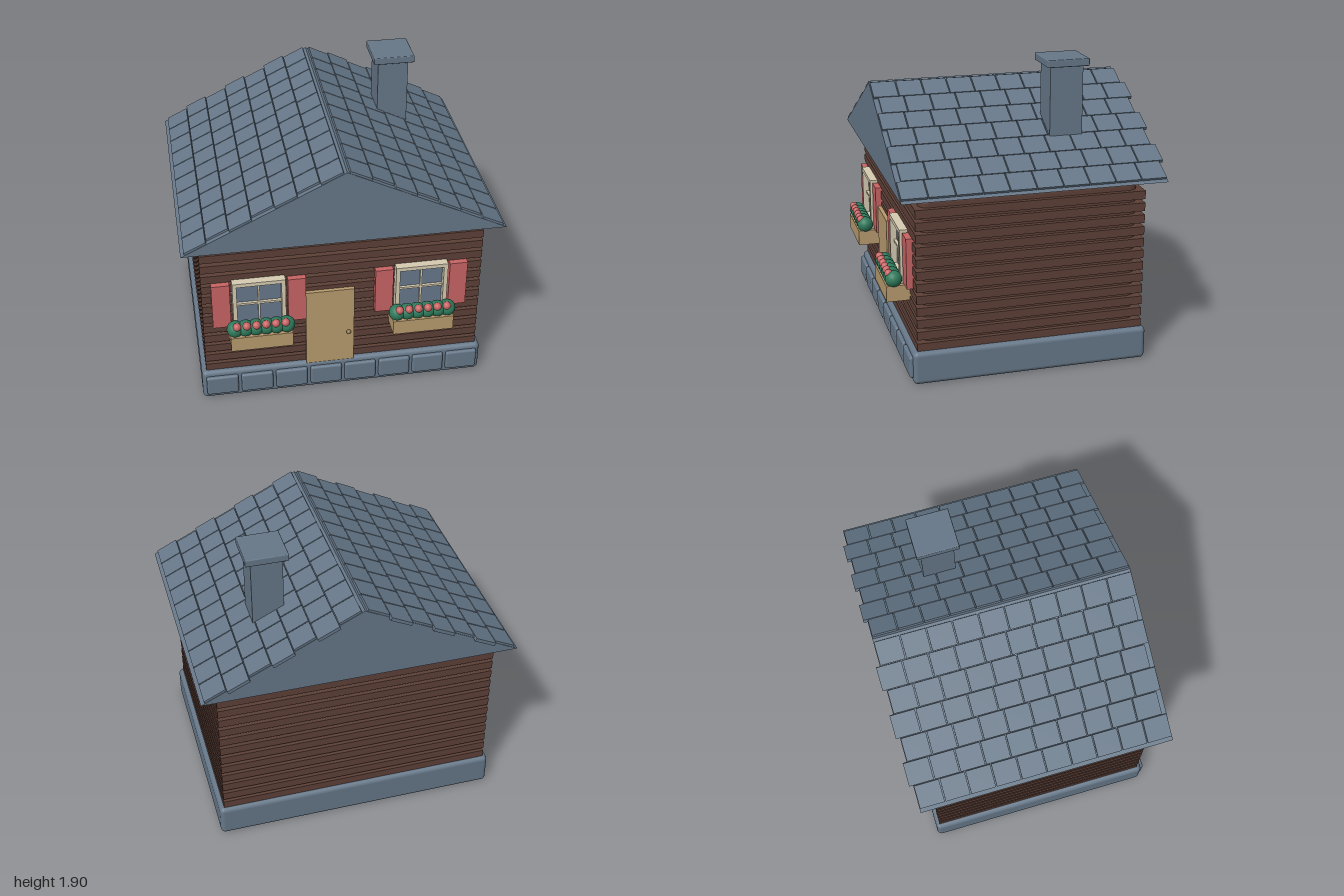
import * as THREE from 'three';
import { RoundedBoxGeometry } from 'three/addons/geometries/RoundedBoxGeometry.js';

const mat = (name, color) => {
  const m = new THREE.MeshStandardMaterial({ color });
  m.name = name;
  return m;
};

export function createModel() {
  const house = new THREE.Group();
  house.name = 'logCabin';

  const stone = mat('slate stone', 0x667788);
  const wood = mat('dark log', 0x5d4037);
  const tan = mat('pale wood', 0xb89b6e);
  const red = mat('shutter red', 0xc86464);
  const cream = mat('cream trim', 0xd6ccb2);
  const green = mat('leaf green', 0x2f7a5c);
  const glass = mat('window glass', 0x66788c);
  const brass = mat('brass', 0x957a4c);

  const add = (parent, name, geometry, material, x = 0, y = 0, z = 0) => {
    const mesh = new THREE.Mesh(geometry, material);
    mesh.name = name;
    mesh.position.set(x, y, z);
    parent.add(mesh);
    return mesh;
  };
  // Box given by its limits; a radius rounds its edges
  const block = (parent, name, material, [x0, x1], [y0, y1], [z0, z1], r = 0) => {
    const s = [x1 - x0, y1 - y0, z1 - z0];
    const g = r ? new RoundedBoxGeometry(...s, 3, r) : new THREE.BoxGeometry(...s);
    return add(parent, name, g, material, (x0 + x1) / 2, (y0 + y1) / 2, (z0 + z1) / 2);
  };
  const group = (name, parent = house) => {
    const g = new THREE.Group();
    g.name = name;
    parent.add(g);
    return g;
  };

  // Foundation with a row of facing stones
  const base = group('foundation');
  block(base, 'foundationSlab', stone, [-0.92, 0.92], [0, 0.213], [-0.76, 0.74], 0.03);
  for (let i = 0; i < 8; i++) {
    const x = (i - 3.5) * 0.226;
    block(base, 'facingStone', stone, [x - 0.103, x + 0.103], [0.04, 0.18], [0.7, 0.762], 0.015);
  }

  // Wall core and stacked logs
  const walls = group('walls');
  block(walls, 'wallCore', wood, [-0.86, 0.86], [0.15, 1.195], [-0.7, 0.675], 0.06);
  for (let i = 0; i < 12; i++) {
    const y = 0.235 + i * 0.0775;
    block(walls, 'logCourse', wood, [-0.89, 0.89], [y - 0.027, y + 0.027], [-0.735, 0.71]);
  }

  // Roof body
  const roof = group('roof');
  const gable = new THREE.Shape([
    new THREE.Vector2(-1, 1.195), new THREE.Vector2(1, 1.195), new THREE.Vector2(0, 1.69),
  ]);
  add(roof, 'roofBody', new THREE.ExtrudeGeometry(gable, { depth: 1.645, bevelEnabled: false }), stone, 0, 0, -0.835);

  // Shingles: seven courses a side, every second one shifted back
  const tilt = Math.atan2(0.495, 1);
  const pitch = 0.1645;
  const shingle = new THREE.BoxGeometry(0.148, 0.022, pitch - 0.007);
  for (const side of [-1, 1]) {
    for (let row = 0; row < 7; row++) {
      const x = 0.084 + row * 0.1375;
      for (let k = 0; k < 10; k++) {
        const z = 0.81 - (k + 0.5) * pitch - (row % 2 ? 0.028 : 0);
        const s = add(roof, 'shingle', shingle, stone, side * x, 1.69 - x * 0.495 + 0.003, z);
        s.rotation.z = -side * tilt;
      }
    }
  }

  // Chimney
  const chimney = group('chimney');
  block(chimney, 'chimneyStack', stone, [0.385, 0.583], [1.35, 1.86], [-0.42, -0.21]);
  block(chimney, 'chimneyCap', stone, [0.352, 0.618], [1.853, 1.9], [-0.45, -0.18], 0.006);

  // Door and knob
  const door = group('door');
  block(door, 'doorPanel', tan, [-0.24, 0.07], [0.203, 0.775], [0.69, 0.735]);
  add(door, 'doorKnob', new THREE.SphereGeometry(0.015, 16, 12), brass, 0.033, 0.442, 0.75);

  // Windows with shutters and flower boxes
  for (const cx of [-0.535, 0.495]) {
    const win = group('window');
    win.position.x = cx;
    block(win, 'glassPane', glass, [-0.15, 0.15], [0.58, 0.9], [0.7, 0.722]);
    for (const s of [-1, 1]) {
      const x = s * 0.153, y = 0.743 + s * 0.163;
      block(win, 'frameStile', cream, [x - 0.013, x + 0.013], [0.567, 0.919], [0.7, 0.762]);
      block(win, 'frameRail', cream, [-0.14, 0.14], [y - 0.013, y + 0.013], [0.7, 0.762]);
      block(win, 'shutter', red, [s * 0.238 - 0.057, s * 0.238 + 0.057], [0.583, 0.905], [0.695, 0.748]);
    }
    block(win, 'verticalBar', cream, [-0.006, 0.006], [0.58, 0.9], [0.7, 0.74]);
    block(win, 'horizontalBar', cream, [-0.14, 0.14], [0.736, 0.75], [0.7, 0.74]);

    const planter = group('flowerBox', win);
    block(planter, 'planterBox', tan, [-0.195, 0.195], [0.47, 0.572], [0.7, 0.855]);
    for (let i = 0; i < 6; i++) {
      const t = i - 2.5;
      add(planter, 'foliage', new THREE.SphereGeometry(0.053, 18, 12), green, t * 0.065, 0.607, 0.804);
      add(planter, 'flower', new THREE.SphereGeometry(0.026, 16, 12), red, t * 0.061, 0.642, 0.832);
    }
  }

  return house;
}
